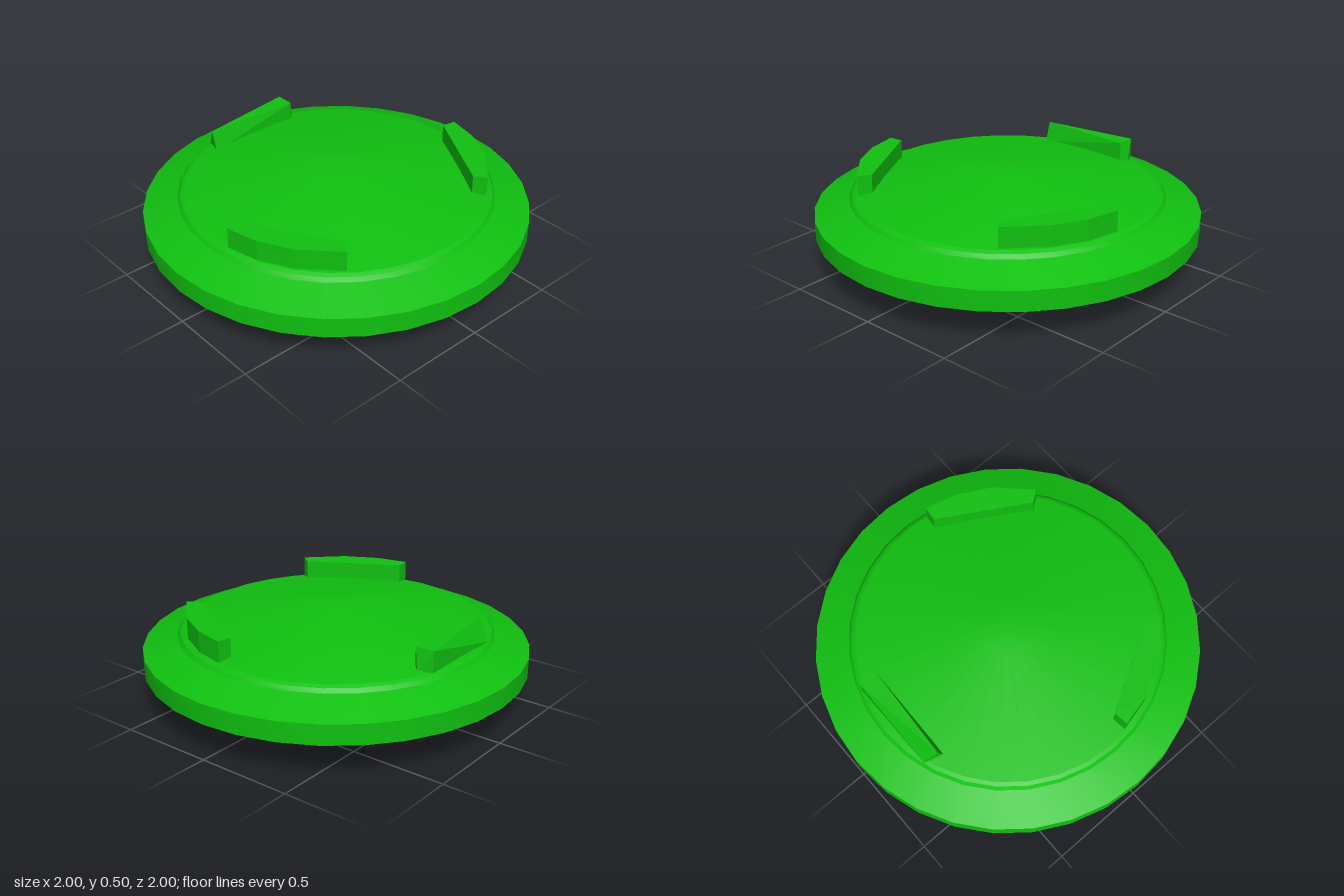
import * as THREE from 'three';
import { toCreasedNormals } from 'three/addons/utils/BufferGeometryUtils.js';
import { ConvexGeometry } from 'three/addons/geometries/ConvexGeometry.js';

const green = new THREE.MeshStandardMaterial({ color: 0x10c010 });

function addPart(group, name, geometry) {
  const mesh = new THREE.Mesh(geometry, green);
  mesh.name = name;
  group.add(mesh);
  return mesh;
}

export function createModel() {
  const model = new THREE.Group();
  model.name = 'lid';

  // Domed disc: shallow bowl below, upright rim, bevel, small step and low cone on top
  const profile = [
    [0, 0.005], [0.12, 0.008], [0.33, 0.022], [0.5, 0.05], [1, 0.19], [1, 0.295],
    [0.82, 0.36], [0.805, 0.38], [0.785, 0.39], [0.13, 0.498], [0, 0.5],
  ].map(([r, y]) => new THREE.Vector2(r, y));
  addPart(model, 'disc', toCreasedNormals(new THREE.LatheGeometry(profile, 32), 0.3));

  // Two upright lugs with a bent outer wall, mirrored left and right
  const outline = [[0.77, 0.1], [0.695, 0.09], [0.43, 0.55], [0.475, 0.61], [0.64, 0.44], [0.73, 0.27]];
  for (const [side, name] of [[1, 'leftLug'], [-1, 'rightLug']]) {
    const shape = new THREE.Shape(outline.map(([x, z]) => new THREE.Vector2(side * x, -z)));
    const geometry = new THREE.ExtrudeGeometry(shape, { depth: 0.12, bevelEnabled: false });
    geometry.rotateX(-Math.PI / 2).translate(0, 0.38, 0);
    addPart(model, name, geometry);
  }

  // Back lug, cut away along its outer top corner and at its ends
  const corners = [
    [0.24, 0.5, -0.76], [0.24, 0.5, -0.66], [-0.28, 0.5, -0.69],
    [0.27, 0.39, -0.69], [0.24, 0.39, -0.76], [0.24, 0.39, -0.66],
    [-0.25, 0.39, -0.76], [-0.28, 0.39, -0.66],
  ].map((p) => new THREE.Vector3(...p));
  addPart(model, 'backLug', new ConvexGeometry(corners));

  return model;
}
